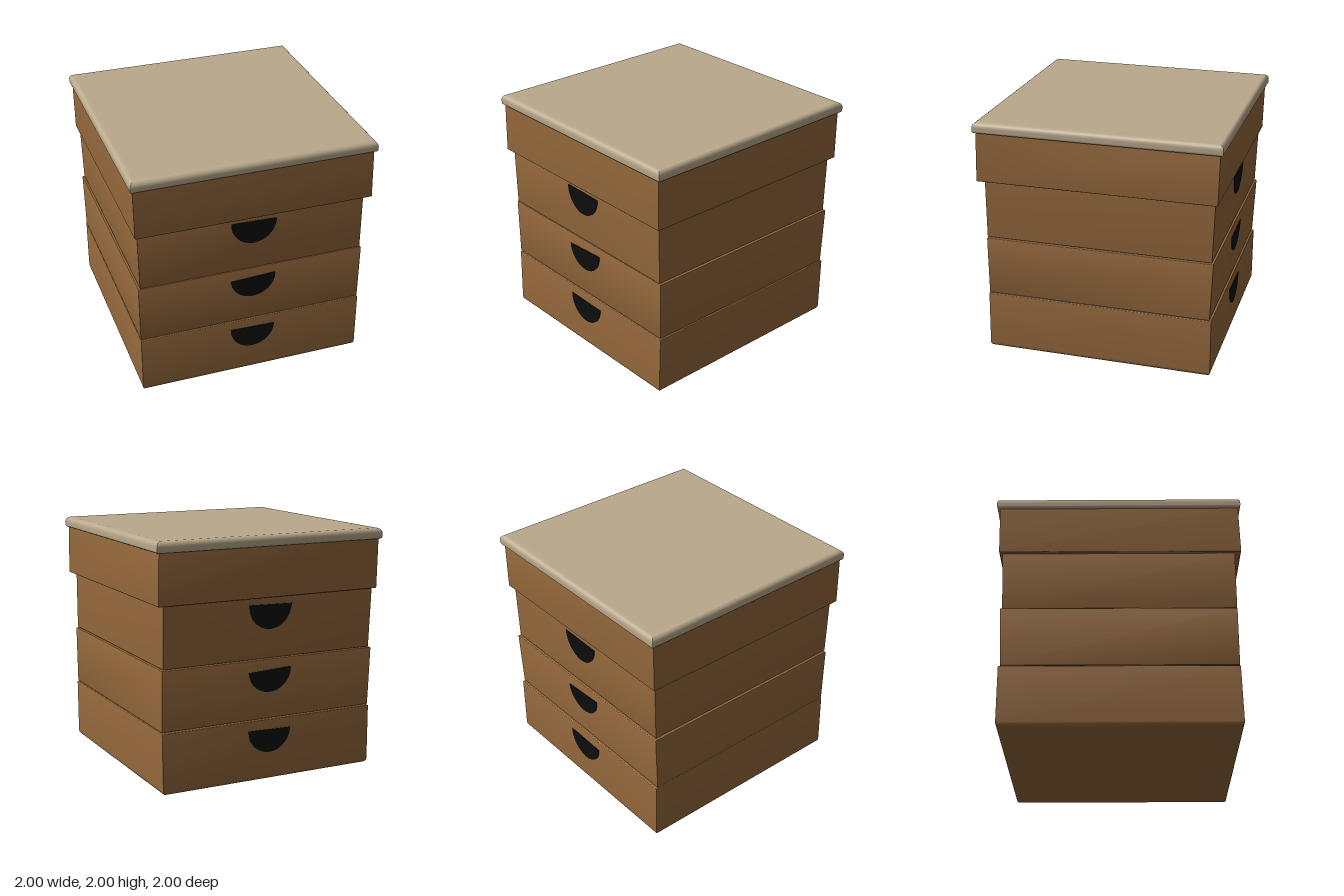
import * as THREE from 'three';
import { toCreasedNormals } from 'three/addons/utils/BufferGeometryUtils.js';

const wood = new THREE.MeshStandardMaterial({ color: 0x94683c });
wood.name = 'brown wood';
const pale = new THREE.MeshStandardMaterial({ color: 0xbaa98c });
pale.name = 'pale lid';
const dark = new THREE.MeshStandardMaterial({ color: 0x0d0d0d });
dark.name = 'dark opening';

// Stack of rectangular rings [y, x0, x1, z0, z1], bottom to top, closed at both ends
function loft(rings) {
  const corners = rings.map(([y, x0, x1, z0, z1]) =>
    [[x0, y, z1], [x1, y, z1], [x1, y, z0], [x0, y, z0]]);
  const pos = [];
  const quad = (a, b, c, d) => pos.push(...a, ...b, ...c, ...a, ...c, ...d);
  for (let i = 0; i + 1 < corners.length; i++) {
    for (let k = 0; k < 4; k++) {
      const n = (k + 1) % 4;
      quad(corners[i][k], corners[i][n], corners[i + 1][n], corners[i + 1][k]);
    }
  }
  const top = corners[corners.length - 1], low = corners[0];
  quad(...top);
  quad(low[3], low[2], low[1], low[0]);
  const geo = new THREE.BufferGeometry();
  geo.setAttribute('position', new THREE.Float32BufferAttribute(pos, 3));
  return toCreasedNormals(geo, 0.6);
}

const inset = ([, x0, x1, z0, z1], y, d) => [y, x0 + d, x1 - d, z0 + d, z1 - d];

// Box between two rings with rounded lower and upper edges
function roundedBlock(low, high, rLow, rHigh) {
  const rings = [];
  const steps = 5;
  rings.push(inset(low, low[0], rLow * 1.3));
  for (let i = 0; i <= steps; i++) {
    const a = (i / steps) * Math.PI / 2;
    rings.push(inset(low, low[0] + rLow * (1 - Math.sin(a)), rLow * (1 - Math.cos(a))));
  }
  rings.splice(1, steps + 1, ...rings.slice(1).reverse());
  rings.push(inset(low, low[0] + rLow * 1.2, 0));
  rings.push(inset(high, high[0] - rHigh * 1.2, 0));
  for (let i = 0; i <= steps; i++) {
    const a = (i / steps) * Math.PI / 2;
    rings.push(inset(high, high[0] - rHigh * (1 - Math.sin(a)), rHigh * (1 - Math.cos(a))));
  }
  rings.push(inset(high, high[0], rHigh * 1.3));
  return loft(rings);
}

// Half-round finger opening, drawn as a thin plate with a slightly sloping top
function openingGeometry(height, slope) {
  const s = new THREE.Shape();
  s.moveTo(-0.19, -slope / 2);
  for (let i = 1; i <= 24; i++) {
    const a = Math.PI + (i / 24) * Math.PI;
    s.lineTo(0.19 * Math.cos(a), Math.sin(a) * height + 0.0);
  }
  s.lineTo(0.19, slope / 2);
  s.closePath();
  return new THREE.ExtrudeGeometry(s, { depth: 0.006, bevelEnabled: false });
}

export function createModel() {
  const model = new THREE.Group();
  model.name = 'drawerCabinet';
  const add = (name, geo, mat, parent = model) => {
    const mesh = new THREE.Mesh(geo, mat);
    mesh.name = name;
    parent.add(mesh);
    return mesh;
  };

  // Three drawers, each a slightly uneven block with openings front and back
  const drawers = [
    { name: 'lowerDrawer', low: [0, -0.95, 0.94, -0.935, 0.955], high: [0.505, -0.95, 0.945, -0.935, 0.945],
      r: 0.035, top: 0.42, h: 0.19, slope: -0.01 },
    { name: 'middleDrawer', low: [0.508, -0.95, 0.94, -0.92, 0.94], high: [1.003, -0.955, 0.945, -0.94, 0.94],
      r: 0.008, top: 0.915, h: 0.185, slope: 0.02 },
    { name: 'upperDrawer', low: [1.006, -0.94, 0.93, -0.925, 0.94], high: [1.505, -0.95, 0.93, -0.94, 0.94],
      r: 0.008, top: 1.445, h: 0.2, slope: -0.01 },
  ];
  for (const d of drawers) {
    const group = new THREE.Group();
    group.name = d.name;
    model.add(group);
    add('drawerBody', roundedBlock(d.low, d.high, d.r, 0.008), wood, group);
    const span = d.high[0] - d.low[0];
    const t = (d.top - d.low[0]) / span;
    const geo = openingGeometry(d.h, d.slope);

    const front = add('frontOpening', geo, dark, group);
    front.position.set(0, d.top, THREE.MathUtils.lerp(d.low[4], d.high[4], t) - 0.001);
    front.rotation.x = Math.atan2(d.high[4] - d.low[4], span);

    const back = add('backOpening', geo, dark, group);
    back.position.set(0, d.top, THREE.MathUtils.lerp(d.low[3], d.high[3], t) + 0.001);
    back.rotation.set(Math.atan2(d.high[3] - d.low[3], span), Math.PI, 0);
  }

  // Wider collar under the lid
  add('collar', roundedBlock([1.503, -0.977, 0.98, -0.967, 0.99], [1.92, -0.98, 0.975, -0.975, 0.98], 0.008, 0.004), wood);

  // Overhanging lid with a rounded rim
  add('lid', roundedBlock([1.91, -1, 1, -1, 1], [2, -1, 1, -1, 1], 0.02, 0.04), pale);

  return model;
}
